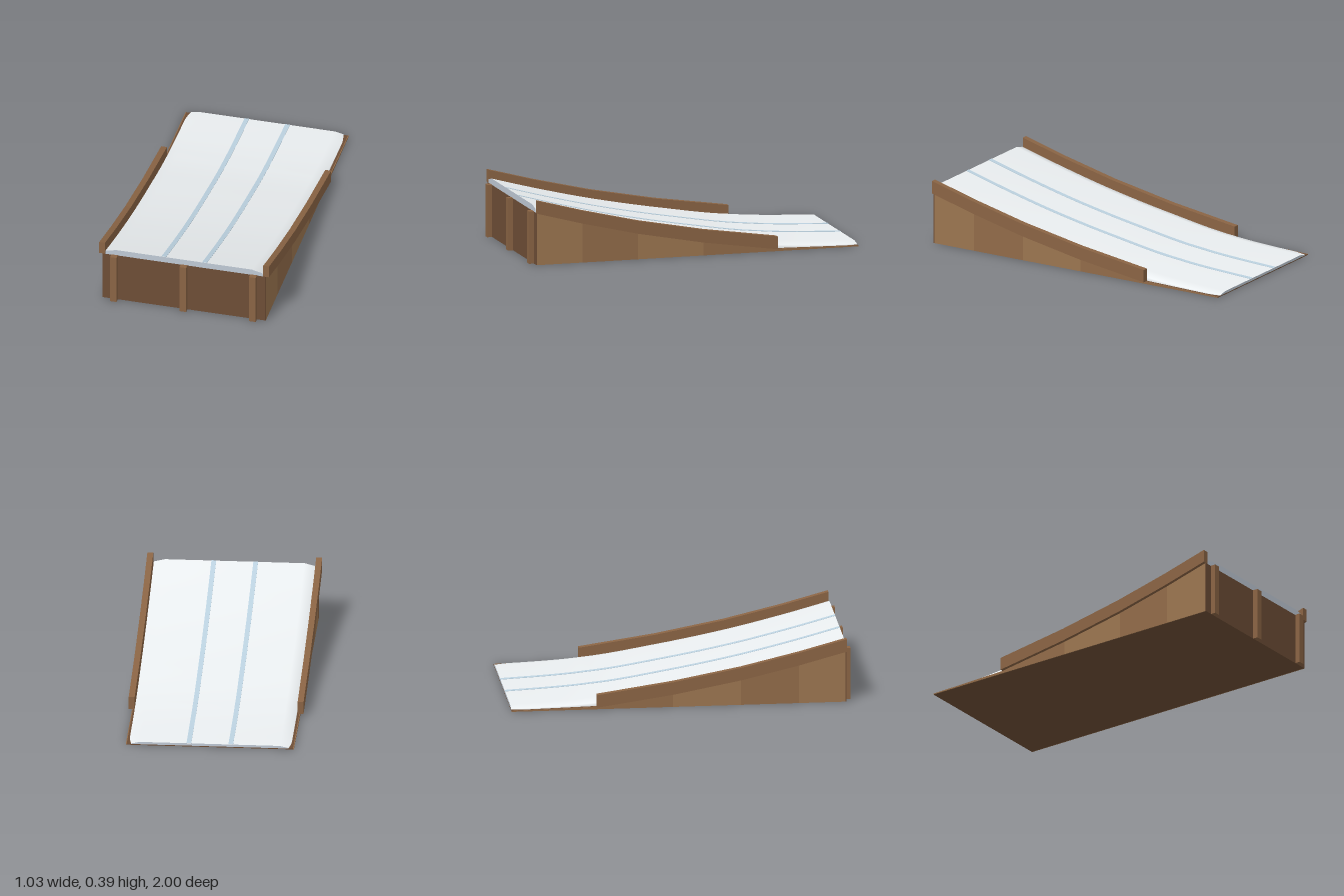
import * as THREE from 'three';

// Curve of the wooden deck as [z, y], from the high front to the low back
const DECK = [[0.97, 0.31], [0.69, 0.235], [0.35, 0.155], [-0.05, 0.08], [-0.5, 0.015], [-1, 0.005]];
const BODY_HALF = 0.493;

const material = (color, side = THREE.FrontSide) => new THREE.MeshStandardMaterial({ color, side });
const darkWood = material(0x6e4e36);
const midWood = material(0x8a6444);
const panelWoods = [material(0x9b7550), material(0x916b49)];
const snowWhite = material(0xeaeef0, THREE.DoubleSide);
const snowShade = material(0xc0cad6, THREE.DoubleSide);
const stripeBlue = material(0xbcd2e0);

function add(parent, name, geometry, mat) {
  const mesh = new THREE.Mesh(geometry, mat);
  mesh.name = name;
  parent.add(mesh);
  return mesh;
}

// Extrudes a side outline of [z, y] points across x, centred on the given x
function slab(points, width, x = 0) {
  const shape = new THREE.Shape(points.map(([z, y]) => new THREE.Vector2(z, y)));
  const geometry = new THREE.ExtrudeGeometry(shape, { depth: width, bevelEnabled: false });
  return geometry.translate(0, 0, -width / 2).rotateY(-Math.PI / 2).translate(x, 0, 0);
}

// Skins rows of [x, y, z] points, each running left to right, from front to back
function skin(rows) {
  const n = rows[0].length;
  const index = [];
  for (let i = 0; i < rows.length - 1; i++) {
    for (let j = 0; j < n - 1; j++) {
      const a = i * n + j;
      index.push(a, a + 1, a + n, a + 1, a + n + 1, a + n);
    }
  }
  const geometry = new THREE.BufferGeometry();
  geometry.setAttribute('position', new THREE.Float32BufferAttribute(rows.flat(2), 3));
  geometry.setIndex(index);
  geometry.computeVertexNormals();
  return geometry;
}

// Snow cross-section at one point of the deck curve, thinning towards the back
function snowRow({ x: z, y }) {
  const t = THREE.MathUtils.clamp((z + 1) / 0.5, 0, 1);
  const top = y + THREE.MathUtils.lerp(0.015, 0.037, t);
  const edge = y + THREE.MathUtils.lerp(0.004, 0.021, t);
  const half = 0.475 - 0.014 * THREE.MathUtils.clamp((-0.93 - z) / 0.07, 0, 1);
  const right = [[0.41, top], [half, edge], [half, y]];
  const left = right.map(([px, py]) => [-px, py]).reverse();
  return [...left, [0, top], ...right].map(([px, py]) => [px, py, z]);
}

export function createModel() {
  const model = new THREE.Group();
  model.name = 'snowRamp';

  // Wooden body with a full-width front wall
  add(model, 'rampBody', slab([...DECK, [-1, 0], [0.97, 0]], BODY_HALF * 2 - 0.01), darkWood);
  const wall = add(model, 'frontWall', new THREE.BoxGeometry(BODY_HALF * 2, 0.31, 0.004), darkWood);
  wall.position.set(0, 0.155, 0.968);

  // Side panels in alternating wood, and curved side rails
  const railLine = DECK.slice(0, 5);
  const railOutline = [...railLine.map(([z, y]) => [z, y + 0.076]), ...railLine.slice().reverse()];
  for (const side of [-1, 1]) {
    const name = side > 0 ? 'left' : 'right';
    for (let i = 0; i < DECK.length - 1; i++) {
      const [z0, y0] = DECK[i];
      const [z1, y1] = DECK[i + 1];
      const front = i === 0 ? 0.966 : z0;
      const outline = [[front, y0], [z1, y1], [z1, 0], [front, 0]];
      // The last two sections share one panel colour
      const wood = panelWoods[Math.min(i, 3) % 2];
      add(model, `${name}SidePanel${i + 1}`, slab(outline, 0.005, side * (BODY_HALF - 0.0025)), wood);
    }
    add(model, `${name}Rail`, slab(railOutline, 0.035, side * 0.4955), midWood);
  }

  // Upright posts on the front wall
  for (const x of [-0.42, 0, 0.42]) {
    const post = add(model, 'frontPost', new THREE.BoxGeometry(0.04, 0.312, 0.03), midWood);
    post.position.set(x, 0.156, 0.985);
  }

  // Smooth snow layer following the deck
  const curve = new THREE.SplineCurve(DECK.map(([z, y]) => new THREE.Vector2(z, y)));
  const rows = curve.getPoints(60).map(snowRow);
  add(model, 'snowSurface', skin(rows), snowWhite);

  // Snow end faces
  for (const [name, row] of [['snowFrontFace', rows[0]], ['snowBackFace', rows[rows.length - 1]]]) {
    const shape = new THREE.Shape(row.map(([x, y]) => new THREE.Vector2(x, y)));
    add(model, name, new THREE.ShapeGeometry(shape).translate(0, 0, row[0][2]), snowShade);
  }

  // Two track stripes lying just above the snow
  for (const x of [-0.123, 0.123]) {
    const stripeRows = rows.map((row) => {
      const [, y, z] = row[3];
      return [[x - 0.014, y, z], [x - 0.0139, y + 0.002, z], [x + 0.0139, y + 0.002, z], [x + 0.014, y, z]];
    });
    const stripe = skin(stripeRows).toNonIndexed();
    stripe.computeVertexNormals();
    add(model, 'trackStripe', stripe, stripeBlue);
  }

  return model;
}
